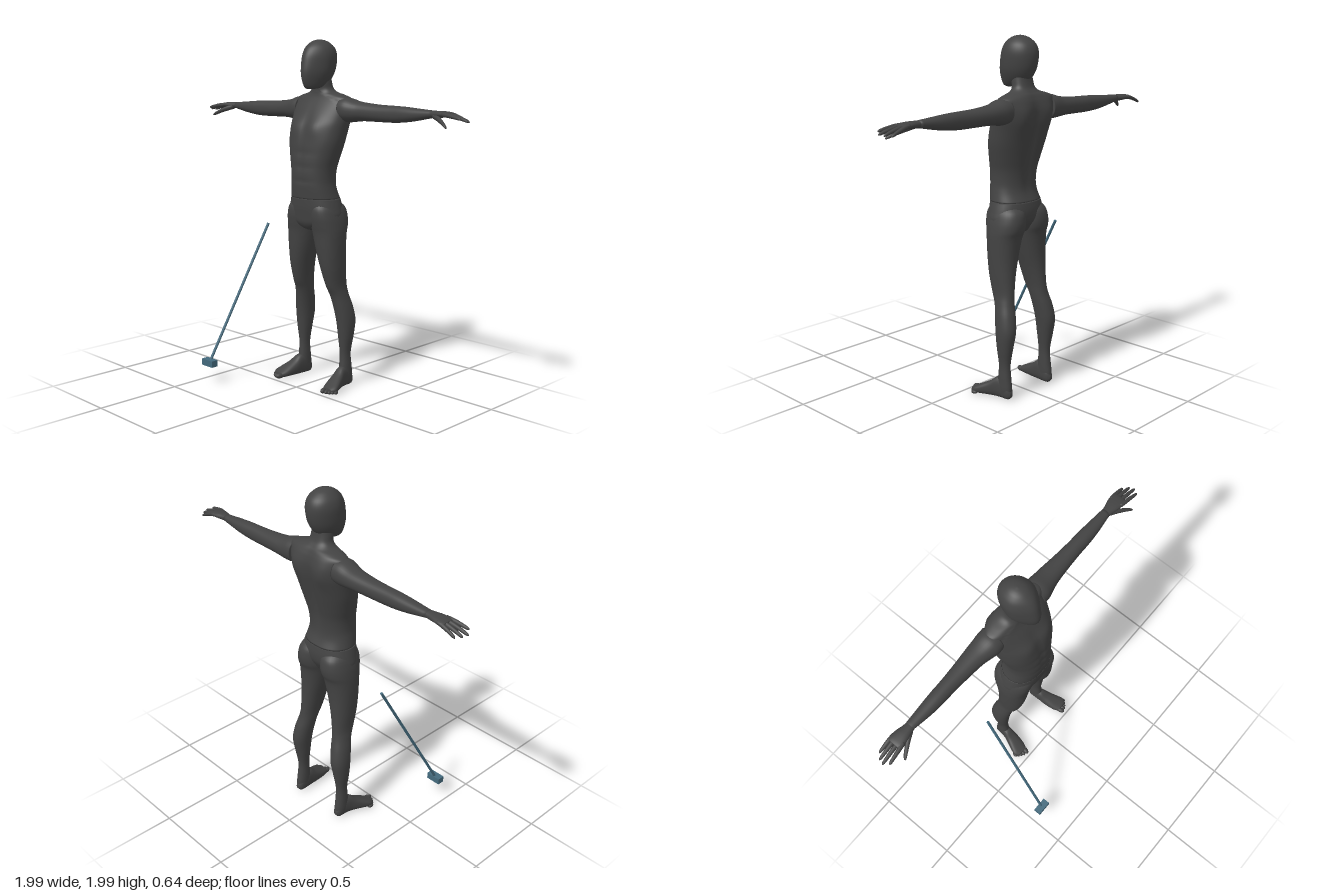
import * as THREE from 'three';

const bodyMat = new THREE.MeshStandardMaterial({ color: 0x434343 });
bodyMat.name = 'charcoal';
const clubMat = new THREE.MeshStandardMaterial({ color: 0x446a7d });
clubMat.name = 'steel blue';

// Axis mappings: a section is [t, aMin, aMax, bMin, bMax]
const alongY = (s) => (t, a, b) => new THREE.Vector3(s * a, t, b);
const alongX = (s) => (t, a, b) => new THREE.Vector3(s * t, a, b);
const alongZ = (s) => (t, a, b) => new THREE.Vector3(s * a, b, t);

// Smooth capped skin through rounded sections, with an optional sculpting rule
function loft(name, sections, map, { sides = 32, steps = 5, power = 2.2, sculpt } = {}) {
  const rings = [];
  const last = sections.length - 1;
  for (let i = 0; i < last; i++) {
    const [p, q, r, s] = [-1, 0, 1, 2].map((k) => sections[Math.min(last, Math.max(0, i + k))]);
    for (let j = 0; j < steps; j++) {
      const u = j / steps;
      rings.push(q.map((v, k) => v + 0.5 * u * (r[k] - p[k]
        + u * (2 * p[k] - 5 * v + 4 * r[k] - s[k] + u * (3 * (v - r[k]) + s[k] - p[k])))));
    }
  }
  rings.push(sections[last]);
  const pos = [], idx = [];
  const round = (c) => Math.sign(c) * Math.abs(c) ** (2 / power);
  for (const [t, a0, a1, b0, b1] of rings) {
    for (let k = 0; k < sides; k++) {
      const w = (k / sides) * Math.PI * 2;
      const v = map(t, (a0 + a1) / 2 + (a1 - a0) / 2 * round(Math.cos(w)),
        (b0 + b1) / 2 + (b1 - b0) / 2 * round(Math.sin(w)));
      if (sculpt) sculpt(v);
      pos.push(v.x, v.y, v.z);
    }
  }
  const o = map(0, 0, 0);
  const [T, A, B] = [map(1, 0, 0), map(0, 1, 0), map(0, 0, 1)].map((v) => v.sub(o));
  const dir = rings[rings.length - 1][0] > rings[0][0] ? 1 : -1;
  const flip = T.dot(A.cross(B)) * dir < 0;
  const tri = (a, b, c) => (flip ? idx.push(a, c, b) : idx.push(a, b, c));
  const n = rings.length;
  for (let i = 0; i < n - 1; i++) {
    for (let k = 0; k < sides; k++) {
      const a = i * sides + k, b = i * sides + (k + 1) % sides;
      tri(a, b, b + sides);
      tri(a, b + sides, a + sides);
    }
  }
  for (const i of [0, n - 1]) {
    const [t, a0, a1, b0, b1] = rings[i];
    const c = pos.length / 3;
    const v = map(t, (a0 + a1) / 2, (b0 + b1) / 2);
    pos.push(v.x, v.y, v.z);
    for (let k = 0; k < sides; k++) {
      const a = i * sides + k, b = i * sides + (k + 1) % sides;
      if (i) tri(a, b, c); else tri(b, a, c);
    }
  }
  const g = new THREE.BufferGeometry();
  g.setAttribute('position', new THREE.Float32BufferAttribute(pos, 3));
  g.setIndex(idx);
  g.computeVertexNormals();
  const mesh = new THREE.Mesh(g, bodyMat);
  mesh.name = name;
  return mesh;
}

const sym = (rows) => rows.map(([t, h, b0, b1]) => [t, -h, h, b0, b1]);
const bump = (d, w) => Math.exp(-((d / w) ** 2));

// Chest muscles, belly lines, spine furrow and shoulder blades
function sculptTorso(v) {
  const x = Math.abs(v.x);
  if (v.z > -0.16) {
    v.z += 0.014 * bump(x - 0.075, 0.055) * bump(v.y - 1.5, 0.06);
    v.z -= 0.006 * bump(x, 0.014) * bump(v.y - 1.35, 0.2);
    for (const y of [1.2, 1.28, 1.36]) v.z -= 0.004 * bump(v.y - y, 0.014) * bump(x, 0.07);
  } else {
    v.z += 0.02 * bump(x, 0.03) * bump(v.y - 1.42, 0.2);
    v.z -= 0.016 * bump(x - 0.1, 0.05) * bump(v.y - 1.57, 0.08);
  }
}

// Face is narrower than the back of the skull
function sculptHead(v) {
  v.x *= 1 - 0.3 * THREE.MathUtils.smoothstep(v.z, -0.17, -0.04);
}

function arm(s) {
  const g = new THREE.Group();
  g.name = s > 0 ? 'leftArm' : 'rightArm';
  g.add(loft('sleeve', [
    [0.16, 1.535, 1.665, -0.295, -0.15], [0.2, 1.53, 1.664, -0.296, -0.15],
    [0.25, 1.535, 1.65, -0.293, -0.163], [0.3, 1.54, 1.642, -0.29, -0.174],
    [0.4, 1.54, 1.634, -0.282, -0.184], [0.5, 1.54, 1.631, -0.276, -0.19],
    [0.58, 1.545, 1.628, -0.274, -0.191], [0.66, 1.556, 1.622, -0.269, -0.196],
    [0.77, 1.577, 1.614, -0.26, -0.209]], alongX(s)));
  g.add(loft('palm', [
    [0.75, 1.578, 1.613, -0.258, -0.211], [0.79, 1.577, 1.614, -0.262, -0.203],
    [0.83, 1.58, 1.614, -0.272, -0.194], [0.87, 1.584, 1.61, -0.276, -0.19],
    [0.89, 1.59, 1.604, -0.268, -0.198]], alongX(s), { sides: 20 }));
  // Fingers fan out from the knuckles: base z, tip x, tip y, tip z
  const fingers = [[-0.2, 0.975, 1.578, -0.184], [-0.222, 0.997, 1.567, -0.214],
    [-0.245, 0.987, 1.563, -0.242], [-0.264, 0.962, 1.56, -0.268]];
  for (const [z0, x1, y1, z1] of fingers) {
    const rows = [[0, 0.011], [0.3, 0.0115], [0.65, 0.01], [0.92, 0.0075], [1, 0.002]].map(([u, r]) => {
      const y = 1.597 + (y1 - 1.597) * u ** 1.5, z = z0 + (z1 - z0) * u;
      return [0.85 + (x1 - 0.85) * u, y - r, y + r, z - r, z + r];
    });
    g.add(loft('finger', rows, alongX(s), { sides: 10, steps: 3, power: 2 }));
  }
  g.add(loft('thumb', [
    [0.78, 1.573, 1.6, -0.232, -0.205], [0.82, 1.561, 1.591, -0.217, -0.187],
    [0.86, 1.547, 1.572, -0.194, -0.168], [0.895, 1.532, 1.55, -0.172, -0.152],
    [0.906, 1.53, 1.536, -0.16, -0.152]], alongX(s), { sides: 12, steps: 3, power: 2 }));
  return g;
}

function leg(s) {
  const g = new THREE.Group();
  g.name = s > 0 ? 'leftLeg' : 'rightLeg';
  g.add(loft('legging', [
    [1.09, 0.02, 0.13, -0.23, -0.08], [1.05, 0.004, 0.163, -0.276, -0.055],
    [1.0, 0.001, 0.179, -0.289, -0.052], [0.95, 0.002, 0.187, -0.284, -0.06],
    [0.9, 0.01, 0.19, -0.266, -0.07], [0.8, 0.034, 0.188, -0.256, -0.08],
    [0.7, 0.062, 0.184, -0.255, -0.095], [0.6, 0.085, 0.179, -0.26, -0.122],
    [0.54, 0.094, 0.188, -0.268, -0.15], [0.47, 0.104, 0.204, -0.288, -0.167],
    [0.39, 0.115, 0.213, -0.3, -0.18], [0.3, 0.126, 0.208, -0.286, -0.19],
    [0.2, 0.138, 0.194, -0.27, -0.2], [0.12, 0.137, 0.197, -0.276, -0.196],
    [0.06, 0.138, 0.198, -0.284, -0.19], [0.015, 0.145, 0.193, -0.28, -0.19]], alongY(s)));
  g.add(loft('foot', [
    [-0.288, 0.158, 0.178, 0.02, 0.04], [-0.27, 0.142, 0.192, 0.002, 0.075],
    [-0.23, 0.138, 0.198, 0, 0.115], [-0.19, 0.139, 0.206, 0, 0.117],
    [-0.15, 0.14, 0.222, 0, 0.088], [-0.1, 0.147, 0.243, 0, 0.06],
    [-0.07, 0.155, 0.25, 0, 0.044], [-0.045, 0.168, 0.235, 0.004, 0.032]],
  alongZ(s), { power: 2.5 }));
  // Toes run from the big toe outward
  const toes = [[0.181, -0.04, 0.0155], [0.203, -0.042, 0.012], [0.219, -0.051, 0.011],
    [0.233, -0.062, 0.0105], [0.246, -0.074, 0.01]];
  for (const [x, z, r] of toes) {
    const toe = new THREE.Mesh(new THREE.SphereGeometry(r, 14, 10), bodyMat);
    toe.name = 'toe';
    toe.position.set(s * x, r, z);
    toe.scale.z = 1.8;
    toe.rotation.y = s * 0.25;
    g.add(toe);
  }
  return g;
}

// Slanted rod standing on a small block
function club() {
  const g = new THREE.Group();
  g.name = 'club';
  const top = new THREE.Vector3(-0.372, 0.905, -0.13), end = new THREE.Vector3(-0.42, 0.125, 0.298);
  const d = top.clone().sub(end);
  const rod = new THREE.Mesh(new THREE.CylinderGeometry(0.008, 0.008, d.length(), 10), clubMat);
  rod.name = 'shaft';
  rod.position.copy(top).add(end).multiplyScalar(0.5);
  rod.quaternion.setFromUnitVectors(new THREE.Vector3(0, 1, 0), d.normalize());
  const head = new THREE.Mesh(new THREE.BoxGeometry(0.09, 0.038, 0.043), clubMat);
  head.name = 'clubHead';
  head.position.set(-0.42, 0.12, 0.3);
  g.add(rod, head);
  return g;
}

export function createModel() {
  const model = new THREE.Group();
  model.name = 'mannequinWithClub';
  model.add(loft('torso', sym([
    [1.1, 0.151, -0.27, -0.04], [1.15, 0.141, -0.25, -0.034], [1.2, 0.135, -0.245, -0.03],
    [1.27, 0.14, -0.252, -0.03], [1.34, 0.158, -0.268, -0.034], [1.42, 0.178, -0.288, -0.043],
    [1.5, 0.189, -0.305, -0.066], [1.55, 0.196, -0.312, -0.09], [1.6, 0.2, -0.313, -0.115],
    [1.64, 0.199, -0.305, -0.138], [1.664, 0.19, -0.295, -0.15], [1.68, 0.145, -0.286, -0.155],
    [1.693, 0.095, -0.275, -0.157], [1.715, 0.069, -0.26, -0.158], [1.75, 0.063, -0.25, -0.15],
    [1.79, 0.06, -0.245, -0.14]]), alongY(1), { sides: 64, sculpt: sculptTorso }));
  model.add(loft('head', sym([
    [1.712, 0.018, -0.135, -0.09], [1.722, 0.045, -0.185, -0.073], [1.755, 0.067, -0.243, -0.057],
    [1.8, 0.085, -0.274, -0.05], [1.85, 0.092, -0.288, -0.055], [1.9, 0.092, -0.29, -0.067],
    [1.94, 0.079, -0.275, -0.09], [1.968, 0.053, -0.243, -0.123], [1.981, 0.029, -0.214, -0.152],
    [1.986, 0.004, -0.187, -0.179]]), alongY(1), { sides: 40, power: 2, sculpt: sculptHead }));
  model.add(loft('pelvis', sym([
    [1.1, 0.153, -0.27, -0.04], [1.05, 0.168, -0.276, -0.043], [1.0, 0.177, -0.27, -0.05],
    [0.96, 0.15, -0.25, -0.057], [0.93, 0.08, -0.23, -0.075], [0.915, 0.03, -0.2, -0.1]]), alongY(1)));
  for (const s of [1, -1]) model.add(arm(s), leg(s));
  model.add(club());
  return model;
}
